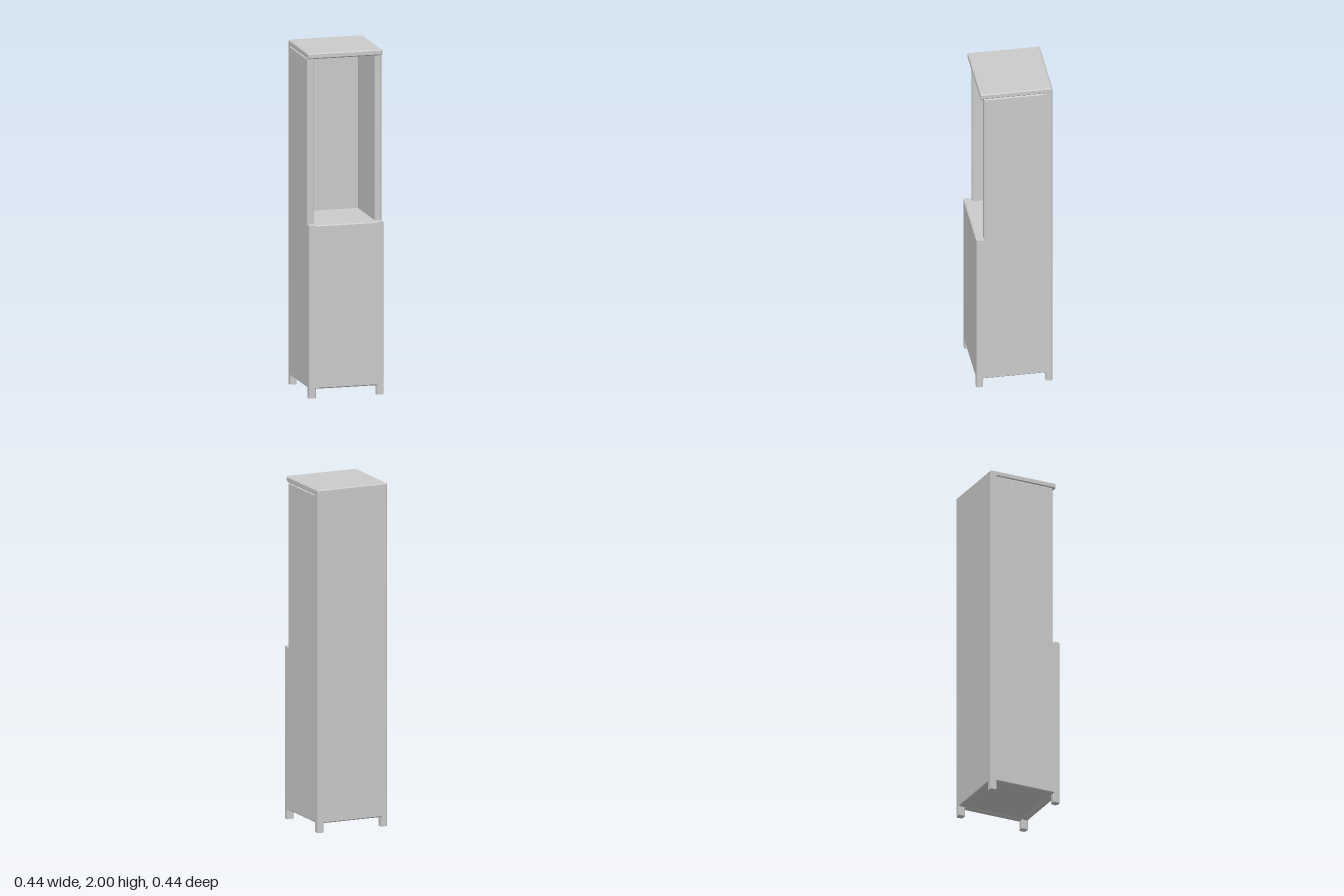
import * as THREE from 'three';
import { ConvexGeometry } from 'three/addons/geometries/ConvexGeometry.js';

const H = 0.22;       // half width and half depth
const T = 0.04;       // panel thickness
const C = 0.006;      // edge chamfer
const FOOT = 0.055;   // foot height
const SHELF = 1.005;  // top of the lower cabinet
const CAP = 1.967;    // underside of the top board

const material = new THREE.MeshStandardMaterial({ color: 0xcccccc, flatShading: true });

function add(group, name, geometry) {
  const mesh = new THREE.Mesh(geometry, material);
  mesh.name = name;
  group.add(mesh);
  return mesh;
}

// Panel of thickness T from an outline, chamfered on both faces, centred on z = 0
function panel(points) {
  const shape = new THREE.Shape(points.map(([x, y]) => new THREE.Vector2(x, y)));
  return new THREE.ExtrudeGeometry(shape, {
    depth: T - 2 * C, bevelEnabled: true, bevelSegments: 1,
    bevelThickness: C, bevelSize: C, bevelOffset: -C,
  }).translate(0, 0, -T / 2 + C);
}

// Box with every edge chamfered
function chamferBox(w, h, d) {
  const points = [];
  for (const x of [-1, 1]) for (const y of [-1, 1]) for (const z of [-1, 1]) {
    for (let axis = 0; axis < 3; axis++) {
      const inset = [0, 1, 2].map((i) => (i === axis ? 0 : C));
      points.push(new THREE.Vector3(
        x * (w / 2 - inset[0]), y * (h / 2 - inset[1]), z * (d / 2 - inset[2])));
    }
  }
  return new ConvexGeometry(points);
}

// Bottom edge of a panel: two feet with a shallow cut-out between
const feet = [[-H, 0], [-H + T, 0], [-H + T, FOOT], [H - T, FOOT], [H - T, 0], [H, 0]];

export function createModel() {
  const model = new THREE.Group();
  model.name = 'cabinet';

  // Stepped side panels, outline running along depth (first value is z)
  const sideOutline = [...feet, [H, SHELF], [0.175, SHELF], [0.175, CAP], [-H, CAP]];
  for (const s of [-1, 1]) {
    const side = add(model, s > 0 ? 'leftSidePanel' : 'rightSidePanel', panel(sideOutline));
    side.rotation.y = -Math.PI / 2;
    side.position.x = s * (H - T / 2);
  }

  // Full-height back with chamfered top corners
  add(model, 'backPanel', panel([...feet, [H, 2 - C], [H - C, 2], [-H + C, 2], [-H, 2 - C]]))
    .position.z = -H + T / 2;

  // Closed front of the lower cabinet
  add(model, 'frontPanel', panel([...feet, [H, SHELF], [-H, SHELF]]))
    .position.z = H - T / 2;

  // Lower body: its top is the shelf, its underside the cabinet bottom
  const bodyBottom = FOOT + C;
  add(model, 'lowerBody', new THREE.BoxGeometry(2 * H - T, SHELF - bodyBottom, 2 * H - T))
    .position.y = (SHELF + bodyBottom) / 2;

  // Top board overhanging the open niche
  const capFront = 0.196;
  add(model, 'topBoard', chamferBox(2 * H, 2 - CAP, capFront + H))
    .position.set(0, (2 + CAP) / 2, (capFront - H) / 2);

  return model;
}
